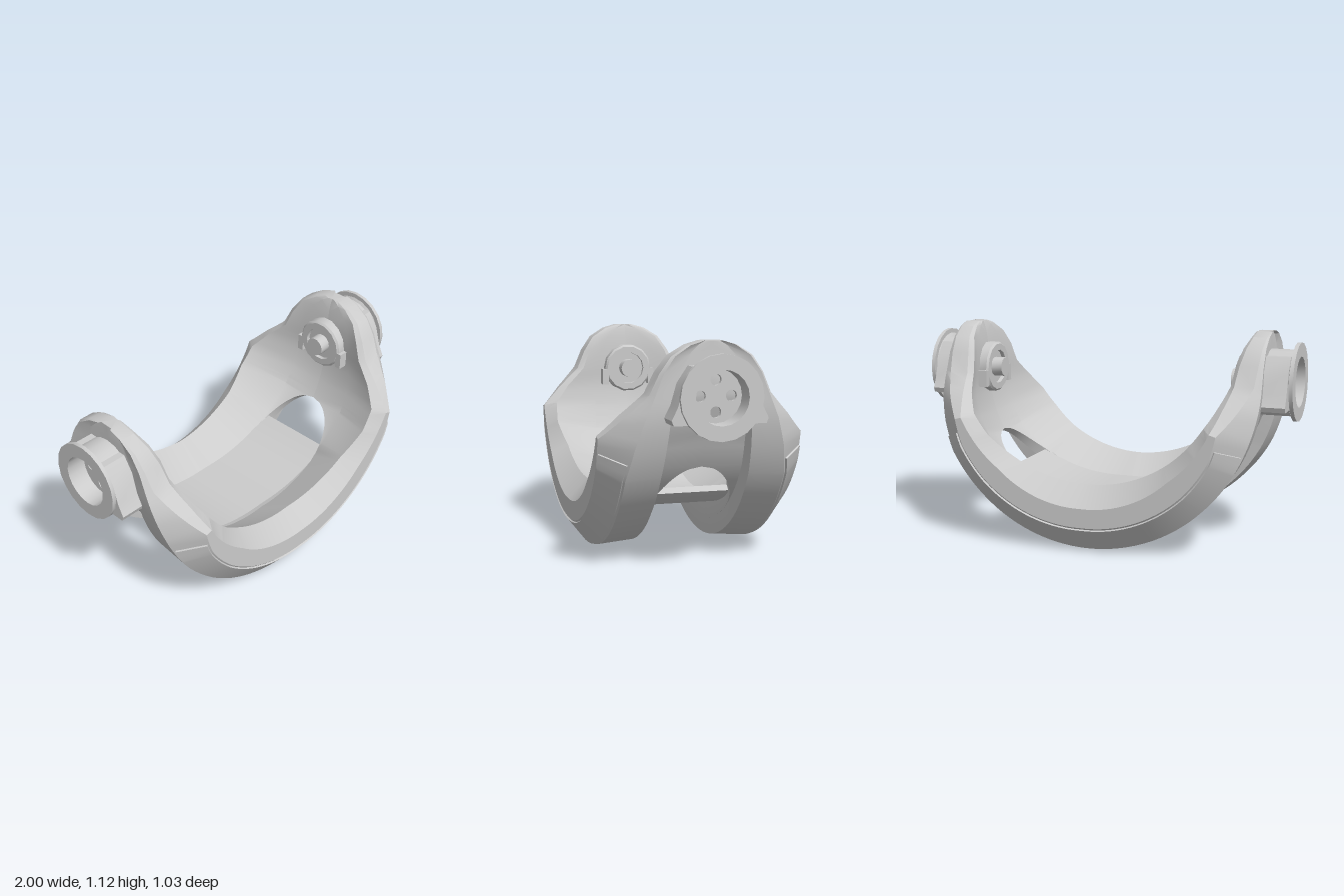
import * as THREE from 'three';
import { toCreasedNormals } from 'three/addons/utils/BufferGeometryUtils.js';

const CY = 0.87; // height of the pivot axis and centre of the curved cradle
const material = new THREE.MeshStandardMaterial({ color: 0xcccccc, side: THREE.DoubleSide });

function part(name, geometry, crease = 0.45) {
  const mesh = new THREE.Mesh(toCreasedNormals(geometry, crease), material);
  mesh.name = name;
  return mesh;
}

// Joins closed [z, r] sections along the arc; each station is { angle, lift, points }
function loft(stations, flipZ = false) {
  const pos = [], index = [], n = stations[0].points.length, last = stations.length - 1;
  for (const { angle, lift, points } of stations) {
    for (const [z, r] of points) {
      pos.push(Math.sin(angle) * r, CY - Math.cos(angle) * r + lift, flipZ ? -z : z);
    }
  }
  const tri = (a, b, c) => (flipZ ? index.push(a, c, b) : index.push(a, b, c));
  for (let s = 0; s < last; s++) {
    for (let j = 0; j < n; j++) {
      const k = (j + 1) % n, a = s * n + j, b = s * n + k;
      tri(a, b, b + n);
      tri(a, b + n, a + n);
    }
  }
  for (let j = 1; j < n - 1; j++) {
    tri(last * n, last * n + j, last * n + j + 1);
    tri(0, j + 1, j);
  }
  const g = new THREE.BufferGeometry();
  g.setAttribute('position', new THREE.Float32BufferAttribute(pos, 3));
  g.setIndex(index);
  return g;
}

// Degrees from the bottom, lift, rim z, rim offset, side z, side r (inner, outer),
// keel z, keel r, rib z, web outer r, web inner r
const KEYS = [
  [0, 0, 0.41, 0, 0.515, 0.63, 0.73, 0.41, 0.865, 0.225, 0.76, 0.655],
  [45, 0, 0.43, 0, 0.515, 0.645, 0.745, 0.405, 0.865, 0.225, 0.77, 0.705],
  [62, 0, 0.46, 0, 0.515, 0.675, 0.745, 0.40, 0.87, 0.22, 0.785, 0.75],
  [73, 0, 0.45, 0, 0.515, 0.695, 0.73, 0.37, 0.87, 0.21, 0.795, 0.752],
  [82, 0, 0.37, 0, 0.41, 0.71, 0.785, 0.33, 0.87, 0.20, 0.82, 0.75],
  [90, 0, 0.27, 0, 0.30, 0.73, 0.83, 0.28, 0.865, 0.18, 0.85, 0.745],
  [90, 0.10, 0.23, 0.015, 0.255, 0.745, 0.84, 0.24, 0.863, 0.16, 0.848, 0.75],
  [90, 0.18, 0.18, 0.04, 0.20, 0.765, 0.845, 0.185, 0.861, 0.12, 0.846, 0.76],
  [90, 0.23, 0.10, 0.062, 0.12, 0.78, 0.85, 0.11, 0.86, 0.07, 0.846, 0.772],
  [90, 0.25, 0.04, 0.073, 0.05, 0.785, 0.85, 0.045, 0.86, 0.035, 0.846, 0.78],
];

// The inner rim is a circle of radius 0.738 centred 0.213 above the pivot axis
function rimRadius(deg) {
  const a = THREE.MathUtils.degToRad(deg);
  return Math.sqrt(0.738 ** 2 - (0.213 * Math.sin(a)) ** 2) - 0.213 * Math.cos(a);
}

// Half width of the long slot with rounded ends
function slotHalfWidth(deg) {
  const t = Math.max(0, (deg - 36) / 26);
  return t >= 1 ? 0 : 0.212 * Math.sqrt(1 - t * t);
}

// Rows interpolated between the keys for one half of the cradle
function sampleRows() {
  const rows = [KEYS[0]];
  for (let k = 1; k < KEYS.length; k++) {
    const a = KEYS[k - 1], b = KEYS[k];
    const steps = Math.max(1, Math.round((b[0] - a[0]) / (b[0] === 62 ? 1 : 3)));
    for (let i = 1; i <= steps; i++) rows.push(a.map((v, c) => v + (b[c] - v) * i / steps));
  }
  return rows;
}

// Turns rows into stations running from the right end to the left end
function mirrored(rows, section) {
  const make = (row, sign) => ({
    angle: sign * THREE.MathUtils.degToRad(row[0]), lift: row[1], points: section(row),
  });
  return [...rows.slice(1).reverse().map((r) => make(r, -1)), ...rows.map((r) => make(r, 1))];
}

function railSection([deg, , zA, dA, zM, r2, r3, zO, rO, zRib, rWeb, rIn]) {
  const zi = slotHalfWidth(deg), zWeb = Math.max(zRib - 0.012, zi);
  return [
    [zi, rIn], [zWeb, rIn - 0.006], [zA, rimRadius(deg) + dA], [zM, r2], [zM, r3],
    [zO, rO], [zRib, rO - 0.015], [zWeb, rWeb], [zi, rWeb],
  ];
}

// Thin raised strip on the lower bevel
function trimSection([, , , , zM, , r3, zO, rO]) {
  const len = Math.hypot(zM - zO, rO - r3);
  const at = (t, h) => [
    zM + (zO - zM) * t + (rO - r3) / len * h,
    r3 + (rO - r3) * t + (zM - zO) / len * h,
  ];
  return [at(0.06, 0.009), at(0.93, 0.009), at(0.93, -0.01), at(0.06, -0.01)];
}

// Solid turned around the x axis from [radius, x] points
function turned(profile, sides) {
  const g = new THREE.LatheGeometry(profile.map(([r, x]) => new THREE.Vector2(r, x)), sides);
  return g.rotateZ(-Math.PI / 2);
}

function extrudedAlongX(shape, x, depth) {
  const g = new THREE.ExtrudeGeometry(shape, { depth, bevelEnabled: false, curveSegments: 12 });
  return g.rotateY(Math.PI / 2).translate(x, 0, 0);
}

function circleHole(x, y, radius) {
  return new THREE.Path().absarc(x, y, radius, 0, Math.PI * 2, true);
}

function createPivot() {
  const pivot = new THREE.Group();
  // Hollow outer hub with flange
  pivot.add(part('hub', turned([
    [0.165, 0.83], [0.165, 0.97], [0.178, 0.98], [0.202, 0.98], [0.202, 1.0],
    [0.13, 1.0], [0.128, 0.87],
  ], 20)));
  // Perforated floor of the hub bore
  const floor = new THREE.Shape().absarc(0, 0, 0.14, 0, Math.PI * 2);
  for (let i = 0; i < 4; i++) {
    const a = i * Math.PI / 2;
    floor.holes.push(circleHole(Math.cos(a) * 0.076, Math.sin(a) * 0.076, 0.027));
  }
  pivot.add(part('hubFloor', extrudedAlongX(floor, 0.88, 0.02)));
  // Flared bracket around the lower half of the hub
  const bracket = new THREE.Shape([
    [-0.12, 0.14], [-0.175, 0.06], [-0.205, -0.04], [-0.235, -0.1], [-0.225, -0.125],
    [-0.13, -0.125], [-0.09, -0.162], [0.09, -0.162], [0.13, -0.125], [0.225, -0.125],
    [0.235, -0.1], [0.205, -0.04], [0.175, 0.06], [0.12, 0.14],
  ].map(([a, b]) => new THREE.Vector2(a, b)));
  bracket.holes.push(circleHole(0, 0, 0.135));
  pivot.add(part('hubBracket', extrudedAlongX(bracket, 0.80, 0.172)));
  // Inner cap with a raised lip and centre pin
  pivot.add(part('innerCap', turned([
    [0, 0.65], [0.052, 0.65], [0.052, 0.712], [0.092, 0.712], [0.092, 0.69],
    [0.128, 0.69], [0.138, 0.70], [0.138, 0.79],
  ], 14)));
  // Clamp tabs at the sides of the cap
  for (const side of [-1, 1]) {
    const tab = new THREE.BoxGeometry(0.06, 0.09, 0.035).translate(0.72, -0.05, side * 0.138);
    pivot.add(part('capTab', tab));
  }
  return pivot;
}

export function createModel() {
  const model = new THREE.Group();
  model.name = 'cradle';
  const rows = sampleRows();

  // Two halves of the cradle, each with a rail, web and ears
  const rail = mirrored(rows, railSection);
  const trim = mirrored(rows.filter((r) => r[0] <= 68), trimSection);
  for (const flip of [false, true]) {
    const end = flip ? 'back' : 'front';
    model.add(part(end + 'Rail', loft(rail, flip)));
    model.add(part(end + 'Trim', loft(trim, flip)));
  }

  // Curved plate bridging the slot
  const plate = mirrored(rows.filter((r) => r[0] <= 45), ([deg]) => {
    const r = 0.62 + 0.09 * (deg / 45) ** 1.5;
    return [[-0.22, r], [0.22, r], [0.22, r + 0.035], [-0.22, r + 0.035]];
  });
  model.add(part('floorPlate', loft(plate)));

  // Pivots on both ears
  for (const [name, turn] of [['leftPivot', 0], ['rightPivot', Math.PI]]) {
    const pivot = createPivot();
    pivot.name = name;
    pivot.position.y = CY - 0.003;
    pivot.rotation.y = turn;
    model.add(pivot);
  }
  return model;
}
